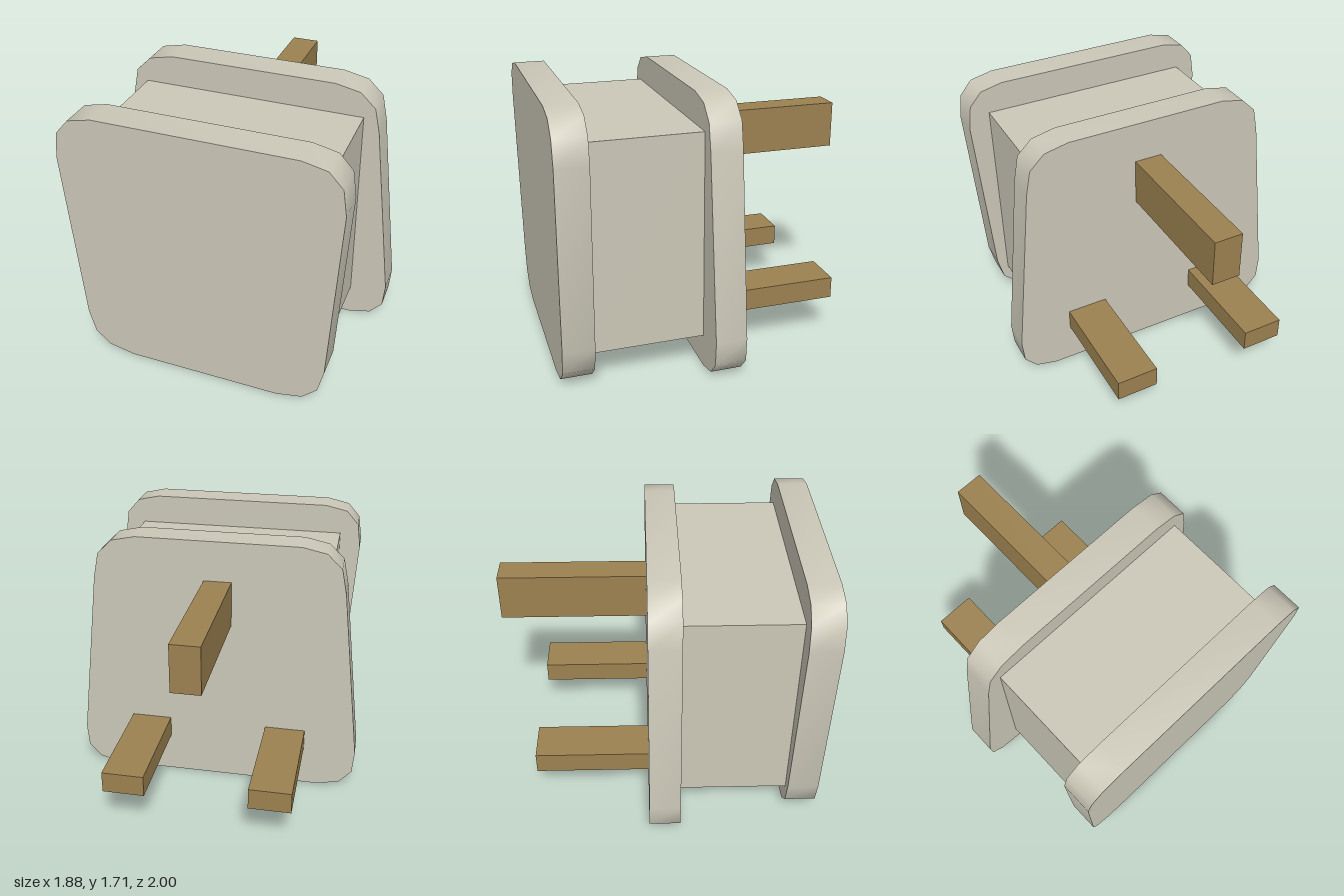
import * as THREE from 'three';
import { toCreasedNormals } from 'three/addons/utils/BufferGeometryUtils.js';

export function createModel() {
  const model = new THREE.Group();
  const plastic = new THREE.MeshStandardMaterial({ color: 0xcbc8b8 });
  plastic.name = 'warm grey plastic';
  const brass = new THREE.MeshStandardMaterial({ color: 0x9c8150 });
  brass.name = 'brass';

  function add(name, geometry, material) {
    const mesh = new THREE.Mesh(geometry, material);
    mesh.name = name;
    model.add(mesh);
  }

  // Box given by its limits on each axis
  function box(name, material, x0, x1, y0, y1, z0, z1) {
    const geometry = new THREE.BoxGeometry(x1 - x0, y1 - y0, z1 - z0);
    geometry.translate((x0 + x1) / 2, (y0 + y1) / 2, (z0 + z1) / 2);
    add(name, geometry, material);
  }

  // Tapered plate with chamfer-rounded corners; half outline runs bottom to top
  function plate(name, half, z0, z1) {
    const right = half.map(([x, y]) => new THREE.Vector2(x, y));
    const left = half.map(([x, y]) => new THREE.Vector2(-x, y)).reverse();
    const geometry = new THREE.ExtrudeGeometry(new THREE.Shape([...right, ...left]), {
      depth: z1 - z0, bevelEnabled: false,
    });
    geometry.translate(0, 0, z0);
    add(name, toCreasedNormals(geometry, 0.8), plastic);
  }

  // Grip plate, narrower at the bottom
  plate('frontPlate', [
    [0.49, 0], [0.65, 0.035], [0.745, 0.125], [0.782, 0.28],
    [0.85, 1.42], [0.828, 1.58], [0.747, 1.672], [0.6, 1.705],
  ], 0.805, 1);

  // Pin plate, wider at the bottom
  plate('backPlate', [
    [0.71, 0], [0.85, 0.035], [0.93, 0.125], [0.942, 0.275],
    [0.808, 1.42], [0.775, 1.58], [0.68, 1.672], [0.525, 1.705],
  ], -0.08, 0.115);

  // Body between the plates
  box('body', plastic, -0.708, 0.708, 0.21, 1.512, 0.115, 0.805);

  // Pins
  box('earthPin', brass, -0.092, 0.087, 1.145, 1.443, -1, -0.08);
  box('leftPin', brass, 0.325, 0.592, 0.273, 0.412, -0.805, -0.08);
  box('rightPin', brass, -0.597, -0.33, 0.273, 0.412, -0.805, -0.08);

  return model;
}
